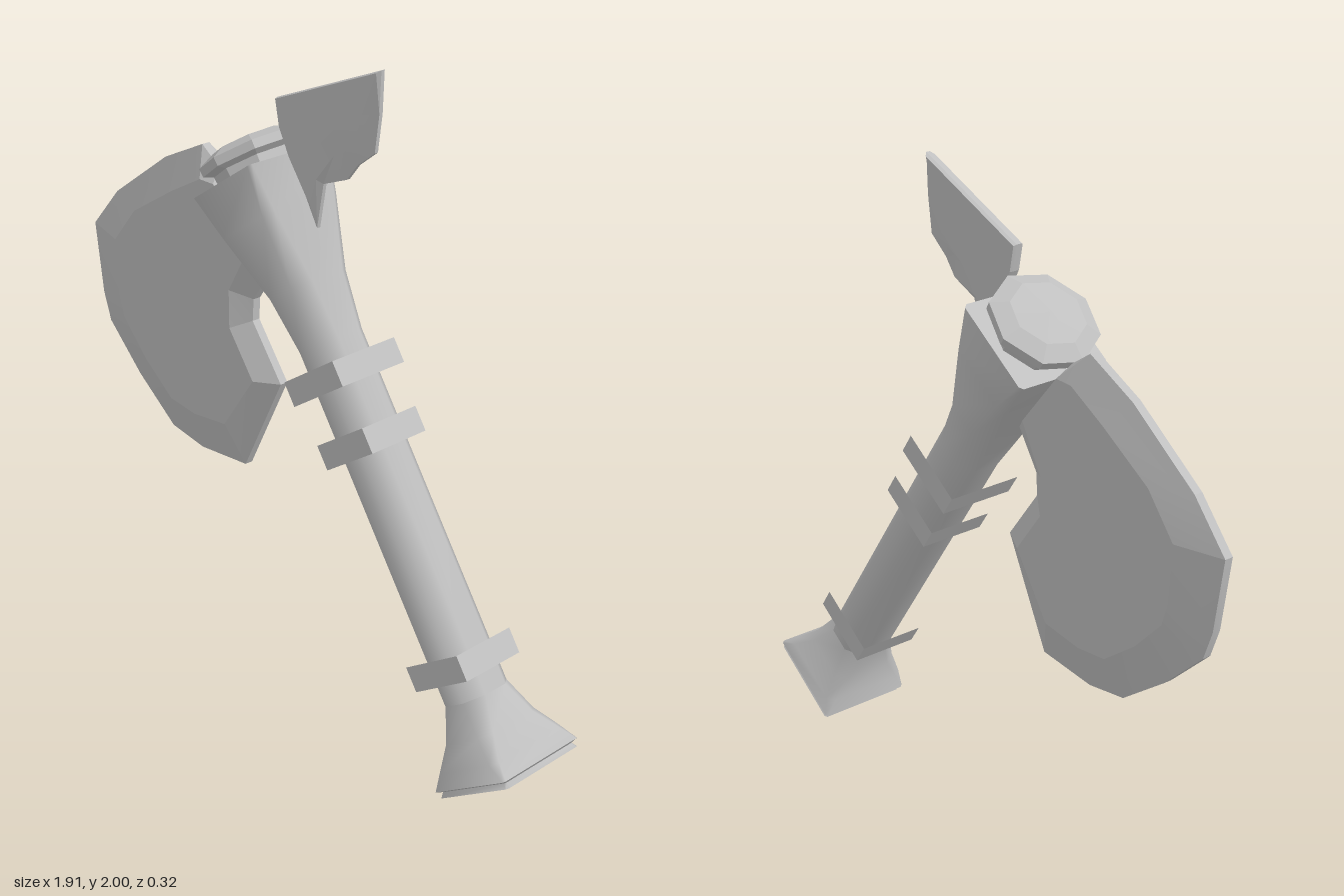
import * as THREE from 'three';
import { toCreasedNormals } from 'three/addons/utils/BufferGeometryUtils.js';

function build(positions, index, crease) {
  const g = new THREE.BufferGeometry();
  g.setAttribute('position', new THREE.Float32BufferAttribute(positions, 3));
  g.setIndex(index);
  return toCreasedNormals(g, crease);
}

// Loft of chamfered squares; each row is [y, halfX, halfZ, corner], corner 1 = square
function loft(rows, crease) {
  const pos = [], idx = [];
  for (const [y, hx, hz, c] of rows) {
    const ring = [[1, -c], [1, c], [c, 1], [-c, 1], [-1, c], [-1, -c], [-c, -1], [c, -1]];
    for (const [x, z] of ring) pos.push(x * hx, y, z * hz);
  }
  for (let r = 0; r < rows.length - 1; r++) {
    for (let i = 0; i < 8; i++) {
      const a = r * 8 + i, b = r * 8 + (i + 1) % 8;
      idx.push(a, a + 8, b, b, a + 8, b + 8);
    }
  }
  return build(pos, idx, crease);
}

// Bevelled plate; each point is [outerX, outerY, innerX, innerY], anticlockwise
function bevelPlate(points, innerZ, outerZ) {
  const n = points.length, pos = [], idx = [];
  const rings = [[2, innerZ], [0, outerZ], [0, -outerZ], [2, -innerZ]];
  for (const [k, z] of rings) for (const p of points) pos.push(p[k], p[k + 1], z);
  for (let r = 0; r < 3; r++) {
    for (let i = 0; i < n; i++) {
      const j = (i + 1) % n, a = r * n, b = a + n;
      idx.push(b + i, b + j, a + j, b + i, a + j, a + i);
    }
  }
  const face = points.map(p => new THREE.Vector2(p[2], p[3]));
  for (const [a, b, c] of THREE.ShapeUtils.triangulateShape(face, [])) {
    idx.push(a, b, c, 3 * n + c, 3 * n + b, 3 * n + a);
  }
  return build(pos, idx, 0.2);
}

export function createModel() {
  const model = new THREE.Group();
  model.name = 'axe';
  const grey = new THREE.MeshStandardMaterial({ color: 0xbfbfbf });
  grey.name = 'plain grey';

  const add = (parent, name, geometry) => {
    const mesh = new THREE.Mesh(geometry, grey);
    mesh.name = name;
    parent.add(mesh);
    return mesh;
  };

  // Everything along the tilted shaft is built upright, then leaned
  const handle = new THREE.Group();
  handle.name = 'handle';
  handle.position.set(0.82, 0.095, 0);
  handle.rotation.z = 0.59;
  model.add(handle);

  // Shaft, flaring to a square socket at the top
  add(handle, 'shaft', loft([
    [0.2, 0.085, 0.09, 0.45],
    [1.3, 0.085, 0.09, 0.45],
    [1.47, 0.095, 0.105, 0.55],
    [1.68, 0.125, 0.14, 0.8],
    [1.82, 0.148, 0.152, 0.93],
    [1.82, 0.001, 0.001, 0.93],
  ], 0.9));

  // Square pommel with a hollowed underside
  add(handle, 'pommel', loft([
    [0.05, 0.001, 0.001, 0.95],
    [-0.01, 0.148, 0.148, 0.95],
    [0.005, 0.14, 0.14, 0.95],
    [0.012, 0.153, 0.155, 0.95],
    [0.06, 0.128, 0.145, 0.85],
    [0.13, 0.1, 0.115, 0.7],
    [0.23, 0.085, 0.09, 0.45],
  ], 0.9));

  // Square bands, open at both ends: [height, halfX, halfZ]
  for (const [y, hx, hz] of [[0.33, 0.113, 0.108], [1.003, 0.107, 0.105], [1.204, 0.117, 0.12]]) {
    const ring = new THREE.CylinderGeometry(Math.SQRT2, Math.SQRT2, 0.075, 4, 1, true);
    ring.rotateY(Math.PI / 4);
    ring.scale(hx, 1, hz);
    add(handle, 'band', toCreasedNormals(ring, 0.3)).position.y = y;
  }

  // Faceted cap on the socket
  const capProfile = [
    [0.125, 1.8], [0.13, 1.85], [0.158, 1.862], [0.16, 1.888], [0.11, 1.912], [0.001, 1.925],
  ].map(([r, y]) => new THREE.Vector2(r, y));
  add(handle, 'cap', toCreasedNormals(new THREE.LatheGeometry(capProfile, 8, 0.15), 0.1));

  // Broad curved blade
  add(model, 'blade', bevelPlate([
    [-0.36, 1.58, -0.34, 1.54],
    [-0.43, 1.63, -0.40, 1.54],
    [-0.60, 1.55, -0.53, 1.47],
    [-0.84, 1.38, -0.71, 1.36],
    [-0.96, 1.245, -0.81, 1.24],
    [-0.93, 1.02, -0.80, 1.06],
    [-0.90, 0.93, -0.78, 0.99],
    [-0.76, 0.79, -0.68, 0.88],
    [-0.60, 0.665, -0.56, 0.785],
    [-0.46, 0.64, -0.45, 0.77],
    [-0.26, 0.655, -0.31, 0.785],
    [-0.10, 0.975, -0.18, 0.97],
    [-0.22, 1.14, -0.28, 1.11],
    [-0.215, 1.21, -0.28, 1.23],
    [-0.14, 1.32, -0.20, 1.37],
  ], 0.052, 0.013));

  // Thin wing-shaped spike at the back
  add(model, 'rearSpike', bevelPlate([
    [-0.115, 1.84, -0.113, 1.837],
    [-0.10, 1.76, -0.098, 1.76],
    [-0.06, 1.68, -0.058, 1.682],
    [0.00, 1.58, 0.00, 1.60],
    [0.045, 1.50, 0.025, 1.57],
    [0.07, 1.635, 0.05, 1.645],
    [0.16, 1.67, 0.12, 1.73],
    [0.20, 1.72, 0.16, 1.75],
    [0.265, 1.77, 0.20, 1.79],
    [0.28, 1.88, 0.225, 1.87],
    [0.285, 2.0, 0.275, 1.992],
  ], 0.016, 0.006));

  return model;
}
